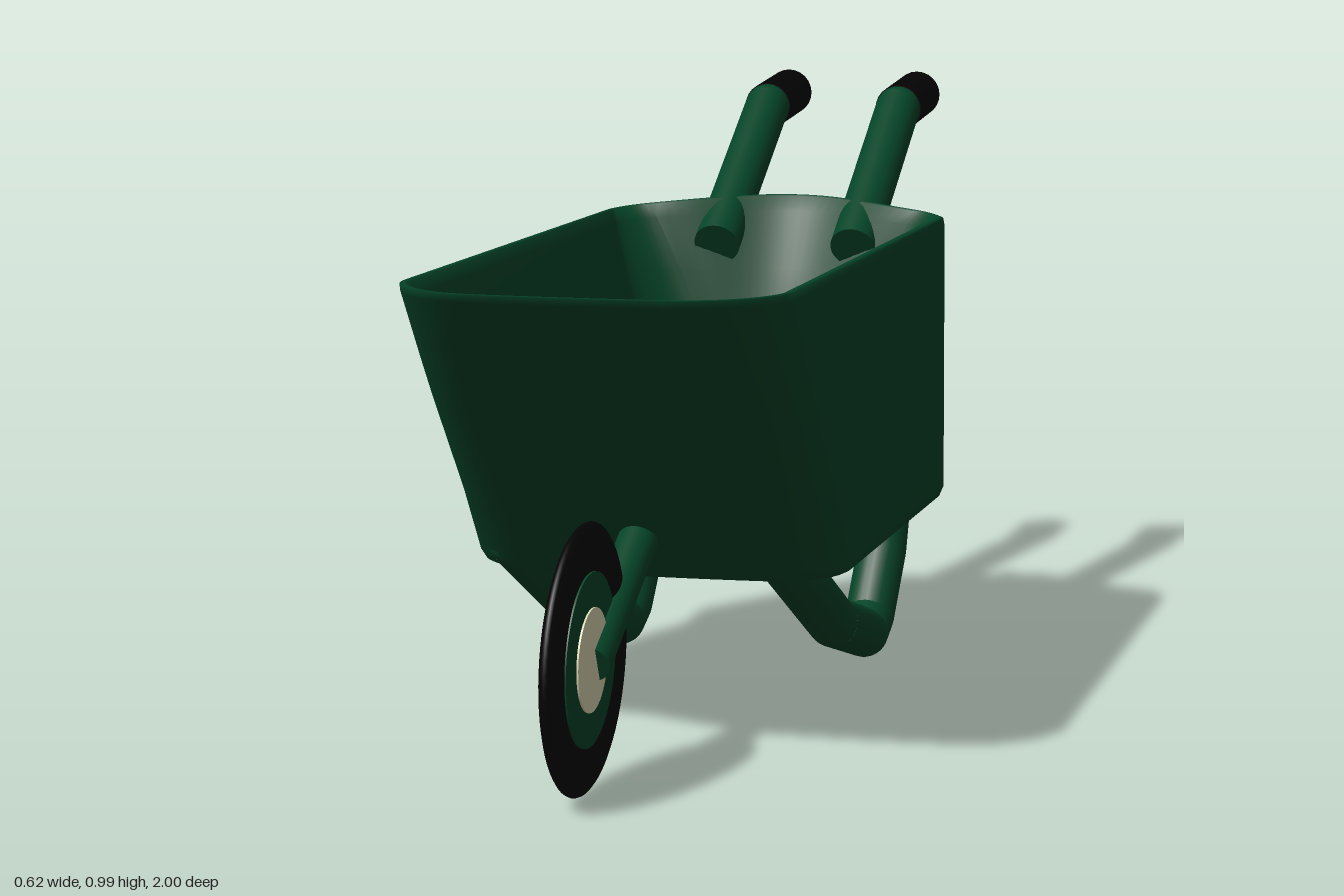
import * as THREE from 'three';

const mat = (color) => new THREE.MeshStandardMaterial({ color });
const green = mat(0x054428), black = mat(0x030303), cream = mat(0xdfd9b4);

function mesh(name, geometry, material) {
  const m = new THREE.Mesh(geometry, material);
  m.name = name;
  return m;
}

// Round bar between two points.
function bar(name, a, b, r, material) {
  const from = new THREE.Vector3(...a), to = new THREE.Vector3(...b);
  const dir = to.clone().sub(from);
  const m = mesh(name, new THREE.CylinderGeometry(r, r, dir.length(), 24), material);
  m.position.copy(from).add(to).multiplyScalar(0.5);
  m.quaternion.setFromUnitVectors(new THREE.Vector3(0, 1, 0), dir.normalize());
  return m;
}

// Bent pipe: straight bars with a ball at each inner bend.
function pipe(name, points, r, material) {
  const g = new THREE.Group();
  g.name = name;
  for (let i = 0; i < points.length - 1; i++) {
    g.add(bar(name + 'Bar', points[i], points[i + 1], r, material));
    if (i > 0) {
      const bend = mesh(name + 'Bend', new THREE.SphereGeometry(r, 24, 16), material);
      bend.position.set(...points[i]);
      g.add(bend);
    }
  }
  return g;
}

// One horizontal ring of the tub: a rounded rectangle with bowed ends,
// whose back edge can bulge into a lip that narrows downwards.
function ring([y, hw, zf, zb, rf, rb, bulge = 0, lift = 0]) {
  const pts = [];
  const bow = (x) => 1 - (x / 0.31) ** 2;
  const lipWidth = 0.08 + 0.8 * Math.max(0, y - 0.57);
  const bell = (x) => Math.cos(Math.min(1, Math.abs(x - 0.01) / lipWidth) * Math.PI / 2) ** 2;
  const add = (x, z) => {
    const back = z < 0;
    pts.push([
      x,
      y + (back ? lift * bow(x) : 0),
      back ? z + 0.042 * (1 - bow(x)) - bulge * bell(x) : z - 0.02 * (1 - bow(x)),
    ]);
  };
  const edge = (x0, x1, z, first) => {
    for (let i = first; i <= 24; i++) add(x0 + ((x1 - x0) * i) / 24, z);
  };
  const corner = (cx, cz, r, start) => {
    for (let i = 1; i <= 10; i++) {
      const t = start + (i / 10) * Math.PI / 2;
      add(cx + r * Math.cos(t), cz + r * Math.sin(t));
    }
  };
  const wb = hw - rb, wf = hw - rf;
  edge(-wb, wb, zb, 0);
  corner(wb, zb + rb, rb, -Math.PI / 2);
  corner(wf, zf - rf, rf, 0);
  edge(wf, -wf, zf, 1);
  corner(-wf, zf - rf, rf, Math.PI / 2);
  corner(-wb, zb + rb, rb, Math.PI);
  return pts;
}

// Tub: rings run from under the floor, up the outside, over the rim and down the sloping inside.
function tub() {
  // y, half width, front z, back z, front radius, back radius, back bulge, back lift
  const rings = [
    [0.268, 0, 0.3, -0.3, 0, 0],
    [0.268, 0.28, 0.41, -0.46, 0.1, 0.05],
    [0.268, 0.293, 0.426, -0.473, 0.1, 0.05],
    [0.274, 0.304, 0.442, -0.483, 0.11, 0.05],
    [0.29, 0.31, 0.454, -0.49, 0.11, 0.05],
    [0.4, 0.31, 0.546, -0.49, 0.12, 0.05],
    [0.57, 0.31, 0.704, -0.486, 0.13, 0.05],
    [0.64, 0.31, 0.77, -0.485, 0.14, 0.05, 0.028],
    [0.7, 0.31, 0.826, -0.484, 0.15, 0.05, 0.054],
    [0.755, 0.31, 0.878, -0.482, 0.16, 0.05, 0.066, 0.016],
    [0.767, 0.308, 0.887, -0.48, 0.16, 0.05, 0.068, 0.021],
    [0.769, 0.302, 0.883, -0.474, 0.155, 0.05, 0.068, 0.021],
    [0.767, 0.294, 0.874, -0.465, 0.15, 0.05, 0.067, 0.021],
    [0.745, 0.284, 0.845, -0.455, 0.15, 0.06, 0.06, 0.016],
    [0.66, 0.258, 0.765, -0.442, 0.14, 0.08, 0.03],
    [0.55, 0.223, 0.66, -0.43, 0.13, 0.09],
    [0.44, 0.187, 0.55, -0.418, 0.12, 0.09],
    [0.38, 0.163, 0.482, -0.405, 0.1, 0.09],
    [0.345, 0.135, 0.43, -0.385, 0.09, 0.08],
    [0.328, 0.095, 0.38, -0.35, 0.07, 0.06],
    [0.322, 0, 0.2, -0.2, 0, 0],
  ].map(ring);
  const n = rings[0].length, index = [];
  for (let i = 0; i < rings.length - 1; i++) {
    for (let j = 0; j < n; j++) {
      const a = i * n + j, b = i * n + (j + 1) % n;
      index.push(a, a + n, b, b, a + n, b + n);
    }
  }
  const g = new THREE.BufferGeometry();
  g.setAttribute('position', new THREE.Float32BufferAttribute(rings.flat(2), 3));
  g.setIndex(index);
  g.computeVertexNormals();
  return mesh('tub', g, green);
}

// Wheel: flattened tyre, rim disc and hub disc on an axis along x, leaning slightly.
function wheel() {
  const g = new THREE.Group();
  g.name = 'wheel';
  const disc = (name, r, width, material) =>
    mesh(name, new THREE.CylinderGeometry(r, r, width, 48).rotateZ(Math.PI / 2), material);
  const tyre = new THREE.TorusGeometry(0.168, 0.041, 20, 64).rotateY(Math.PI / 2).scale(0.38, 1, 1);
  g.add(
    mesh('tyre', tyre, black),
    disc('rim', 0.134, 0.024, green),
    disc('hub', 0.08, 0.03, cream),
  );
  g.position.set(-0.003, 0.209, 0.79);
  g.rotation.z = -0.014;
  return g;
}

export function createModel() {
  const model = new THREE.Group();
  model.name = 'wheelbarrow';
  model.add(tub(), wheel());

  // Fork: one bar from the wheel hub through the tub floor.
  model.add(bar('fork', [0, 0.386, 0.41], [0, 0.197, 0.768], 0.032, green));

  for (const s of [-1, 1]) {
    // Legs: bent pipes under the tub, turning up into its side walls at the front.
    const x = s * 0.22 - 0.006;
    model.add(pipe('leg', [
      [x - 0.028, 0.47, 0.402],
      [x - 0.012, 0.312, 0.395],
      [x, 0.132, 0.055],
      [x - 0.006, 0.059, -0.215],
      [x - 0.006, 0.078, -0.262],
      [x, 0.185, -0.335],
      [x, 0.312, -0.39],
    ], 0.043, green));

    // Handles with dark grips.
    const hx = 0.011 + s * 0.125;
    model.add(pipe('handle', [
      [hx, 0.707, -0.437],
      [hx, 0.928, -0.815],
      [hx, 0.93, -0.84],
    ], 0.041, green));
    model.add(bar('grip', [hx, 0.928, -0.82], [hx, 0.943, -0.996], 0.043, black));
  }
  return model;
}
